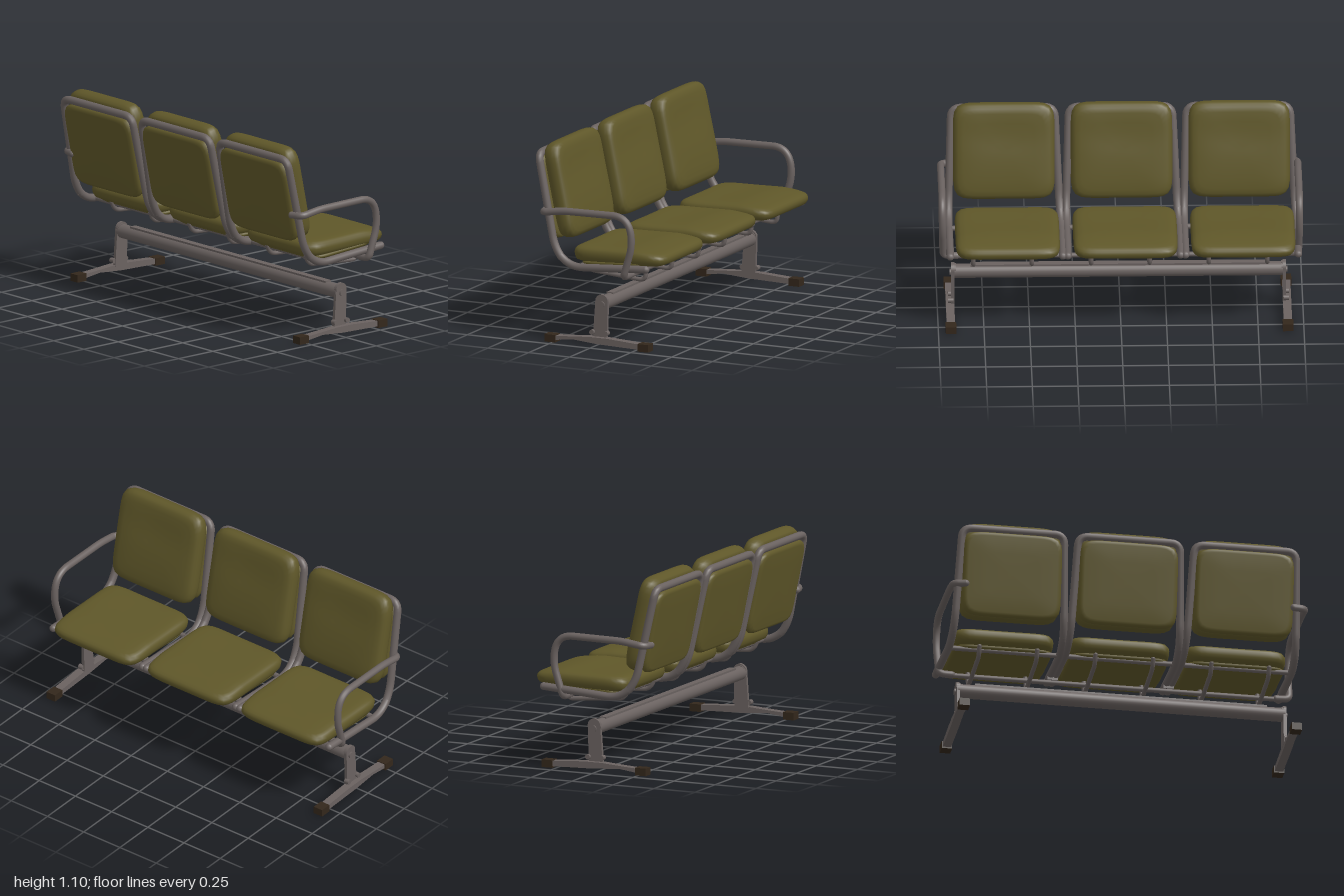
import * as THREE from 'three';
import { mergeVertices } from 'three/addons/utils/BufferGeometryUtils.js';

const steel = new THREE.MeshStandardMaterial({ color: 0x6a6260 });
steel.name = 'grey steel';
const olive = new THREE.MeshStandardMaterial({ color: 0x5f5729 });
olive.name = 'olive upholstery';
const rubber = new THREE.MeshStandardMaterial({ color: 0x33271b });
rubber.name = 'dark brown rubber';

function add(parent, name, geometry, material, x = 0, y = 0, z = 0) {
  const mesh = new THREE.Mesh(geometry, material);
  mesh.name = name;
  mesh.position.set(x, y, z);
  parent.add(mesh);
  return mesh;
}

// Polyline with rounded corners; each point is [x, y, z, cornerRadius]
function roundedPath(points) {
  const path = new THREE.CurvePath();
  const v = points.map((p) => new THREE.Vector3(p[0], p[1], p[2]));
  let from = v[0];
  for (let i = 1; i < v.length - 1; i++) {
    const r = points[i][3] ?? 0.05;
    const a = v[i].clone().add(v[i - 1].clone().sub(v[i]).setLength(r));
    const b = v[i].clone().add(v[i + 1].clone().sub(v[i]).setLength(r));
    path.add(new THREE.LineCurve3(from, a));
    path.add(new THREE.QuadraticBezierCurve3(a, v[i], b));
    from = b;
  }
  path.add(new THREE.LineCurve3(from, v[v.length - 1]));
  return path;
}

// Bent steel tube with rounded ends
function tube(parent, name, points, radius, segments = 90) {
  const group = new THREE.Group();
  group.name = name;
  add(group, name + 'Tube', new THREE.TubeGeometry(roundedPath(points), segments, radius, 12), steel);
  for (const p of [points[0], points[points.length - 1]]) {
    add(group, name + 'End', new THREE.SphereGeometry(radius, 12, 8), steel, p[0], p[1], p[2]);
  }
  parent.add(group);
}

// Padded slab: a lathe whose round plan is pushed out to a rounded rectangle
function cushion(halfX, halfY, halfZ, bend = () => 0) {
  const profile = [[0, -1], [0.5, -1], [0.9, -0.93], [0.96, -0.75], [0.99, -0.4], [1, 0],
    [0.99, 0.35], [0.96, 0.62], [0.9, 0.8], [0.8, 0.91], [0.6, 0.97], [0.4, 0.99], [0.2, 1], [0, 1]];
  let g = new THREE.LatheGeometry(profile.map((p) => new THREE.Vector2(p[0], p[1])), 72);
  g.deleteAttribute('uv');
  g.deleteAttribute('normal');
  g = mergeVertices(g, 1e-5);
  const pos = g.attributes.position;
  for (let i = 0; i < pos.count; i++) {
    const r = Math.hypot(pos.getX(i), pos.getZ(i));
    const c = r ? pos.getX(i) / r : 0;
    const s = r ? pos.getZ(i) / r : 0;
    const k = r ? r * (Math.abs(c) ** 8 + Math.abs(s) ** 8) ** (-1 / 8) : 0;
    const x = k * c, z = k * s, y = pos.getY(i);
    pos.setXYZ(i, x * halfX, y * halfY + bend(x, y, z), z * halfZ);
  }
  g.computeVertexNormals();
  return g;
}

function buildSeat(x) {
  const seat = new THREE.Group();
  seat.name = 'seat';
  seat.position.x = x;

  // Continuous frame: seat rails, rear bends and the arch of the back
  const side = (s, shift) => [[s * 0.308 + shift, 0.462, -0.308], [s * 0.308 + shift, 0.431, 0.163, 0.09],
    [s * 0.303 + shift / 2, 0.53, 0.248, 0.07], [s * 0.283, 1.047, 0.356, 0.055]];
  tube(seat, 'seatFrame', [...side(1, -0.008), ...side(-1, -0.008).reverse()], 0.0215, 180);

  // Cross tube below the rear of the cushion
  tube(seat, 'rearCrossTube', [[-0.315, 0.437, 0.1], [0.3, 0.437, 0.1]], 0.014, 2);

  // Hanging mounting loops
  for (const lx of [-0.148, 0.172]) {
    tube(seat, 'mountingLoop', [[lx, 0.45, 0.125], [lx, 0.398, 0.1, 0.035],
      [lx, 0.371, -0.243, 0.035], [lx, 0.46, -0.248]], 0.0125, 50);
  }

  // Seat cushion with a rounded front edge and a slight hollow
  const seatBend = (u, h, w) => -0.005 * w
    - (h > 0 ? 0.01 * Math.max(0, 1 - u * u) * Math.exp(-3 * (w - 0.3) ** 2) : 0)
    - 0.022 * h * Math.max(0, -w - 0.4) - 0.012 * Math.max(0, -w - 0.4);
  add(seat, 'seatCushion', cushion(0.285, 0.049, 0.283, seatBend), olive, -0.016, 0.506, -0.107);

  // Fabric panel stretched below the seat cushion
  add(seat, 'seatPanel', cushion(0.274, 0.018, 0.21), olive, -0.01, 0.464, -0.085).rotation.x = 0.066;

  // Back cushion and rear panel
  const tilt = -(Math.PI / 2 - 0.205);
  const backBend = (u, h, w) => (h > 0 ? -0.012 * (1 - u * u) * Math.exp(-5 * (w - 0.4) ** 2) : 0);
  add(seat, 'backCushion', cushion(0.278, 0.056, 0.27, backBend), olive, -0.004, 0.837, 0.246).rotation.x = tilt;
  add(seat, 'backPanel', cushion(0.274, 0.027, 0.237), olive, 0, 0.797, 0.311).rotation.x = tilt;
  return seat;
}

// Armrest, foot and post for the +x (1) or -x (-1) end
function buildEnd(s) {
  const end = new THREE.Group();
  end.name = s > 0 ? 'leftEnd' : 'rightEnd';

  tube(end, 'armrest', [[s * 0.91, 0.732, 0.315], [s * 0.977, 0.734, 0.3, 0.03], [s * 0.977, 0.752, 0.17, 0.04],
    [s * 0.977, 0.757, -0.225, 0.1], [s * 0.977, 0.6, -0.247, 0.06],
    [s * 0.972, 0.415, -0.19, 0.03], [s * 0.9, 0.412, -0.19]], 0.02, 120);

  // The undercarriage sits slightly to one side of the seats
  const base = new THREE.Group();
  base.name = 'legAssembly';
  base.position.x = 0.009;
  end.add(base);

  // Upright post with a rounded top
  const lx = s * 0.918;
  const post = new THREE.Shape();
  post.moveTo(-0.02, 0.045);
  post.lineTo(0.064, 0.045);
  post.lineTo(0.071, 0.255);
  post.absarc(0.033, 0.255, 0.038, 0, Math.PI, false);
  post.lineTo(-0.02, 0.045);
  const postGeometry = new THREE.ExtrudeGeometry(post, { depth: 0.018, bevelEnabled: false });
  postGeometry.translate(0, 0, -0.009);
  add(base, 'post', postGeometry, steel, s * 0.907).rotation.y = Math.PI / 2;

  // Beam end cap and bolts
  const disc = (name, r, depth, x, y, z) => {
    add(base, name, new THREE.CylinderGeometry(r, r, depth, 20), steel, x, y, z).rotation.z = Math.PI / 2;
  };
  disc('endCap', 0.035, 0.02, s * 0.9, 0.252, -0.032);
  disc('bolt', 0.018, 0.024, s * 0.912, 0.238, -0.035);
  for (const z of [0.02, -0.065]) disc('footBolt', 0.014, 0.03, lx, 0.08, z);

  // Arched foot bar
  const foot = new THREE.Shape();
  foot.moveTo(-0.28, 0.012);
  foot.lineTo(-0.21, 0.022);
  foot.lineTo(-0.13, 0.032);
  foot.lineTo(0.02, 0.02);
  foot.lineTo(0.25, 0.014);
  foot.lineTo(0.3, 0.012);
  foot.lineTo(0.3, 0.042);
  foot.quadraticCurveTo(0.18, 0.05, 0.08, 0.056);
  foot.lineTo(-0.03, 0.056);
  foot.quadraticCurveTo(-0.15, 0.046, -0.28, 0.04);
  const footGeometry = new THREE.ExtrudeGeometry(foot, { depth: 0.046, bevelEnabled: false });
  footGeometry.translate(0, 0, -0.023);
  add(base, 'footBar', footGeometry, steel, lx + s * 0.004).rotation.y = Math.PI / 2;

  // Rubber end pads
  for (const z of [0.266, -0.303]) {
    add(base, 'footPad', new THREE.BoxGeometry(0.058, 0.042, 0.066), rubber, lx + s * 0.004, 0.026, z);
  }
  return end;
}

export function createModel() {
  const model = new THREE.Group();
  model.name = 'threeSeatBench';

  for (const x of [-0.653, -0.009, 0.635]) model.add(buildSeat(x));
  for (const s of [-1, 1]) model.add(buildEnd(s));

  // Long rail joining the seats
  tube(model, 'seatRail', [[-0.93, 0.409, -0.19], [0.93, 0.409, -0.19]], 0.0135, 2);

  // Main beam with a flat strip on top
  add(model, 'mainBeam', new THREE.CylinderGeometry(0.039, 0.039, 1.82, 24), steel, 0.008, 0.242, -0.031).rotation.z = Math.PI / 2;
  add(model, 'beamStrip', new THREE.BoxGeometry(1.62, 0.014, 0.04), steel, 0.008, 0.279, -0.031);

  // Clips between neighbouring frames
  for (const x of [-0.342, 0.302]) {
    add(model, 'frameClip', new THREE.BoxGeometry(0.06, 0.03, 0.03), steel, x, 0.435, -0.19);
  }
  return model;
}
